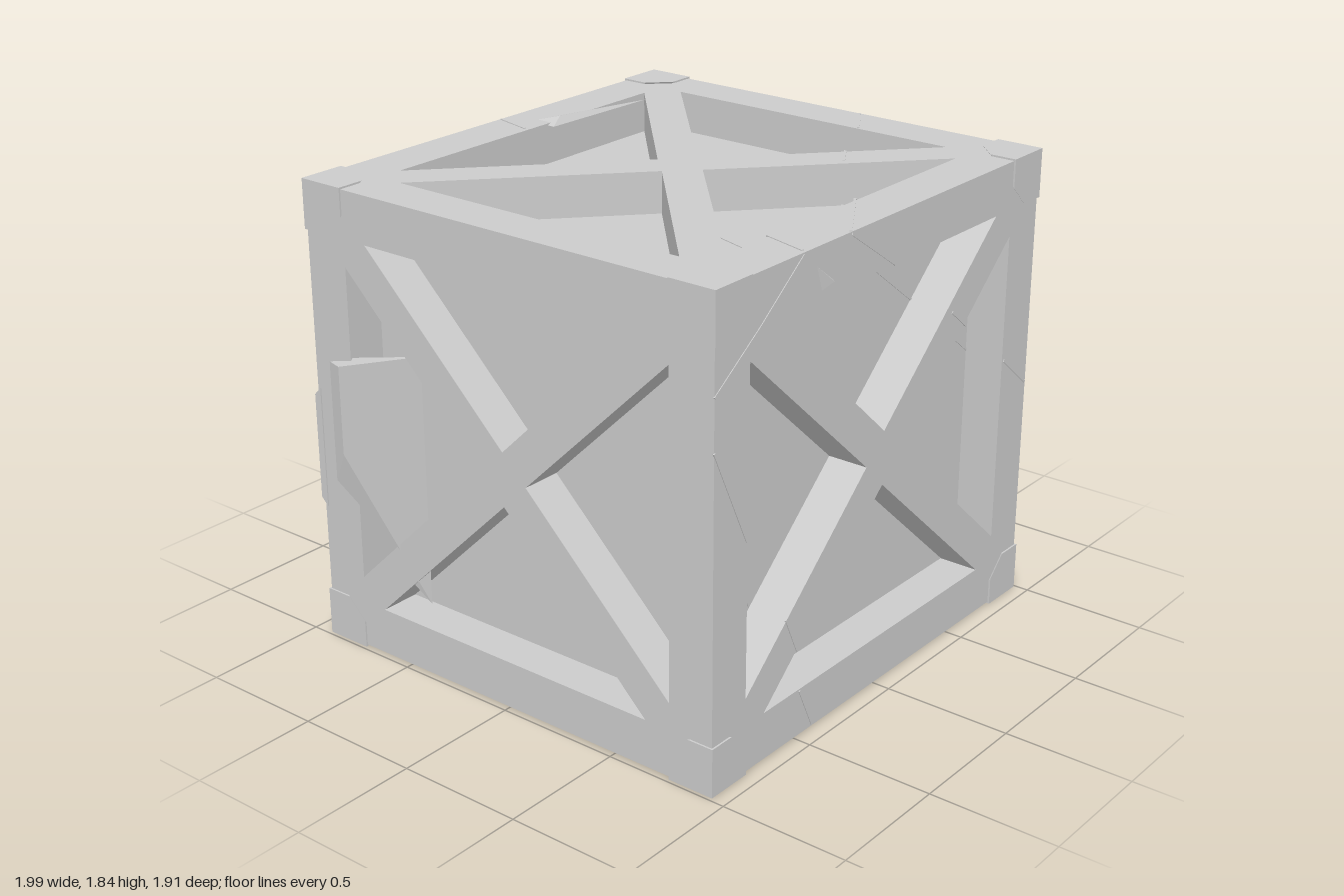
import * as THREE from 'three';
import { ConvexGeometry } from 'three/addons/geometries/ConvexGeometry.js';

const CENTER = new THREE.Vector3(0.002, 0.92, 0.01);
const HALF = new THREE.Vector3(0.982, 0.908, 0.925);
const DEPTH = 0.16;   // recess of the panels
const BORDER = 0.185; // width of the frame bars
const GAP = 0.105;    // half spread of the diagonal braces

const mat = new THREE.MeshStandardMaterial({ color: 0xcccccc, flatShading: true });

function add(parent, name, geometry) {
  const mesh = new THREE.Mesh(geometry, mat);
  mesh.name = name;
  parent.add(mesh);
  return mesh;
}

function polygon(points, Type = THREE.Path) {
  return new Type(points.map(([x, y]) => new THREE.Vector2(x, y)));
}

// Frame with crossed braces: a plate with four triangular holes and mitred outer edges
function braceFrame(w, h) {
  const shape = polygon([[-w, -h], [w, -h], [w, h], [-w, h]], THREE.Shape);
  const a = w - BORDER, b = h - BORDER;
  for (const s of [-1, 1]) {
    shape.holes.push(polygon([[-a + GAP, s * b], [a - GAP, s * b], [0, s * GAP]]));
    shape.holes.push(polygon([[s * a, -b + GAP], [s * a, b - GAP], [s * GAP, 0]]));
  }
  const geo = new THREE.ExtrudeGeometry(shape, { depth: DEPTH, bevelEnabled: false });
  const p = geo.attributes.position;
  for (let i = 0; i < p.count; i++) {
    const x = p.getX(i), y = p.getY(i);
    if (p.getZ(i) < 1e-4 && Math.abs(x) > w - 1e-4 && Math.abs(y) > h - 1e-4) {
      p.setXY(i, x - Math.sign(x) * DEPTH, y - Math.sign(y) * DEPTH);
    }
  }
  geo.computeVertexNormals();
  return geo;
}

// Cracks per side: [x1, y1, x2, y2, onPanel], in the plane of that side
const frontCracks = [
  [-0.98, 1.47, -0.74, 1.64, 0], [-0.74, 1.64, -0.51, 1.82, 0],
  [-0.24, 1.82, 0.03, 1.64, 0], [0.03, 1.64, 0.42, 1.35, 1],
  [0.42, 1.35, 0.52, 1.27, 0], [0.52, 1.27, 0.8, 1.05, 1],
  [0.81, 1.04, 0.98, 0.9, 0], [-0.98, 1.28, -0.8, 0.9, 0],
  [-0.8, 1.01, -0.57, 0.51, 1], [-0.57, 0.51, -0.5, 0.36, 0],
  [-0.5, 0.36, -0.42, 0.2, 1], [-0.48, 0.19, -0.4, 0.02, 0],
];
const rightCracks = [
  [0.93, 0.89, 0.74, 1.1, 0], [0.73, 1.12, 0.52, 1.35, 1],
  [0.52, 1.35, 0.42, 1.45, 0], [0.42, 1.45, 0.26, 1.64, 1],
  [0.29, 1.65, 0.14, 1.82, 0], [-0.9, 0.79, -0.73, 0.68, 0],
  [-0.73, 0.6, -0.57, 0.49, 1], [-0.57, 0.49, -0.42, 0.4, 0],
  [-0.42, 0.4, -0.09, 0.2, 1], [0.05, 0.2, 0.34, 0.02, 0],
  [0.34, 0.02, 0.45, 0.13, 0], [0.45, 0.13, 0.45, 0.19, 0],
  [-0.12, 1.68, -0.9, 1.66, 0],
];
const topCracks = [
  [0.04, -0.91, 0, -0.75, 0], [0.11, -0.6, -0.04, -0.13, 1],
  [-0.15, 0.22, -0.3, 0.72, 1], [-0.45, 0.74, -0.5, 0.92, 0],
  [0.06, 0.74, -0.24, 0.93, 0], [-0.02, 0.72, 0.41, 0.45, 1],
  [0.41, 0.45, 0.52, 0.38, 0], [0.52, 0.38, 0.8, 0.2, 1],
  [0.81, 0.24, 0.98, 0.13, 0],
];
const backCracks = [[-0.98, 0.82, -0.81, 0.79, 0], [-0.8, 0.85, -0.1, 0.8, 1]];

// toLocal turns drawn coordinates into the side's own axes
const SIDES = [
  { name: 'front', rot: [0, 0], size: 'xyz', cracks: frontCracks, toLocal: (x, y) => [x - CENTER.x, y - CENTER.y] },
  { name: 'back', rot: [0, Math.PI], size: 'xyz', cracks: backCracks, toLocal: (x, y) => [x, y - CENTER.y] },
  { name: 'leftSide', rot: [0, Math.PI / 2], size: 'zyx', cracks: rightCracks, toLocal: (z, y) => [CENTER.z - z, y - CENTER.y] },
  { name: 'rightSide', rot: [0, -Math.PI / 2], size: 'zyx', cracks: [] },
  { name: 'top', rot: [-Math.PI / 2, 0], size: 'xzy', cracks: topCracks, toLocal: (x, z) => [x - CENTER.x, CENTER.z - z] },
  { name: 'bottom', rot: [Math.PI / 2, 0], size: 'xzy', cracks: [] },
];

function buildSide({ name, rot, size, cracks, toLocal }) {
  const side = new THREE.Group();
  side.name = name;
  side.position.copy(CENTER);
  side.rotation.set(rot[0], rot[1], 0);
  const [w, h, out] = [...size].map((axis) => HALF[axis]);
  add(side, 'braceFrame', braceFrame(w, h)).position.z = out - DEPTH;
  for (const [x1, y1, x2, y2, onPanel] of cracks) {
    const [ax, ay] = toLocal(x1, y1), [bx, by] = toLocal(x2, y2);
    const strip = add(side, 'crack', new THREE.BoxGeometry(Math.hypot(bx - ax, by - ay), 0.009, 0.006));
    strip.position.set((ax + bx) / 2, (ay + by) / 2, out - onPanel * DEPTH);
    strip.rotation.z = Math.atan2(by - ay, bx - ax);
  }
  return side;
}

function hull(points) {
  return new ConvexGeometry(points.map((p) => new THREE.Vector3(...p)));
}

// Corner cap: three chamfered squares meeting at the corner
function cornerCap(sx, sy, sz) {
  const s = 0.19, c = 0.08, lip = 0.007;
  const outline = [[0, 0], [s, 0], [s, s - c], [s - c, s], [0, s]];
  const points = [];
  for (const [a, b] of outline) points.push([a, b, 0], [0, a, b], [b, 0, a]);
  return hull(points.map(([x, y, z]) => [
    CENTER.x + sx * (HALF.x + lip - x),
    CENTER.y + sy * (HALF.y + lip - y),
    CENTER.z + sz * (HALF.z + lip - z),
  ]));
}

export function createModel() {
  const crate = new THREE.Group();
  crate.name = 'crate';

  // Inner box whose faces are the recessed panels
  const core = HALF.clone().subScalar(DEPTH).multiplyScalar(2);
  add(crate, 'panels', new THREE.BoxGeometry(core.x, core.y, core.z)).position.copy(CENTER);

  for (const side of SIDES) crate.add(buildSide(side));

  for (const sx of [-1, 1]) for (const sy of [-1, 1]) for (const sz of [-1, 1]) {
    add(crate, 'cornerCap', cornerCap(sx, sy, sz));
  }

  // Loose slab standing off the back post
  add(crate, 'looseSlab', hull([
    [-0.985, 0.55, -0.9], [-0.985, 1.03, -0.9], [-0.79, 0.52, -0.9], [-0.79, 1.05, -0.9],
    [-0.985, 0.58, -0.93], [-0.985, 1.0, -0.93], [-0.86, 0.57, -0.955], [-0.86, 0.98, -0.955],
    [-0.79, 0.57, -0.955], [-0.79, 0.98, -0.955],
  ]));
  // Splinter bulging from the right side's back post
  add(crate, 'sideSplinter', hull([
    [-0.97, 0.3, -0.3], [-0.97, 1.28, -0.3], [-0.97, 1.15, -0.8], [-0.97, 0.6, -0.8],
    [-0.97, 0.9, -0.78],
  ].map(([x, y, z]) => [x, y, z - 0.08]).concat([[-0.998, 1.15, -0.78], [-0.998, 0.8, -0.78]])));
  // Chip on the front bar
  add(crate, 'frontChip', hull([
    [-0.46, 1.78, 0.93], [-0.34, 1.69, 0.93], [-0.42, 1.66, 0.93], [-0.36, 1.69, 0.952],
  ]));
  // Shards on the top
  add(crate, 'topShard', hull([
    [-0.69, 1.77, -0.73], [-0.23, 1.72, -0.7], [-0.57, 1.67, -0.64], [-0.6, 1.66, -0.73],
  ]));
  add(crate, 'topSplinter', hull([
    [0.11, 1.82, -0.83], [0.17, 1.848, -0.72], [0.11, 1.82, -0.7], [0.64, 1.82, -0.68], [0.2, 1.82, -0.74],
  ]));
  // Chip under the base
  add(crate, 'baseChip', hull([
    [0.05, 0.02, 0.05], [-0.12, 0.02, -0.1], [-0.25, 0.02, -0.3], [-0.1, 0.02, -0.2], [-0.1, 0.004, -0.15],
  ]));
  return crate;
}
